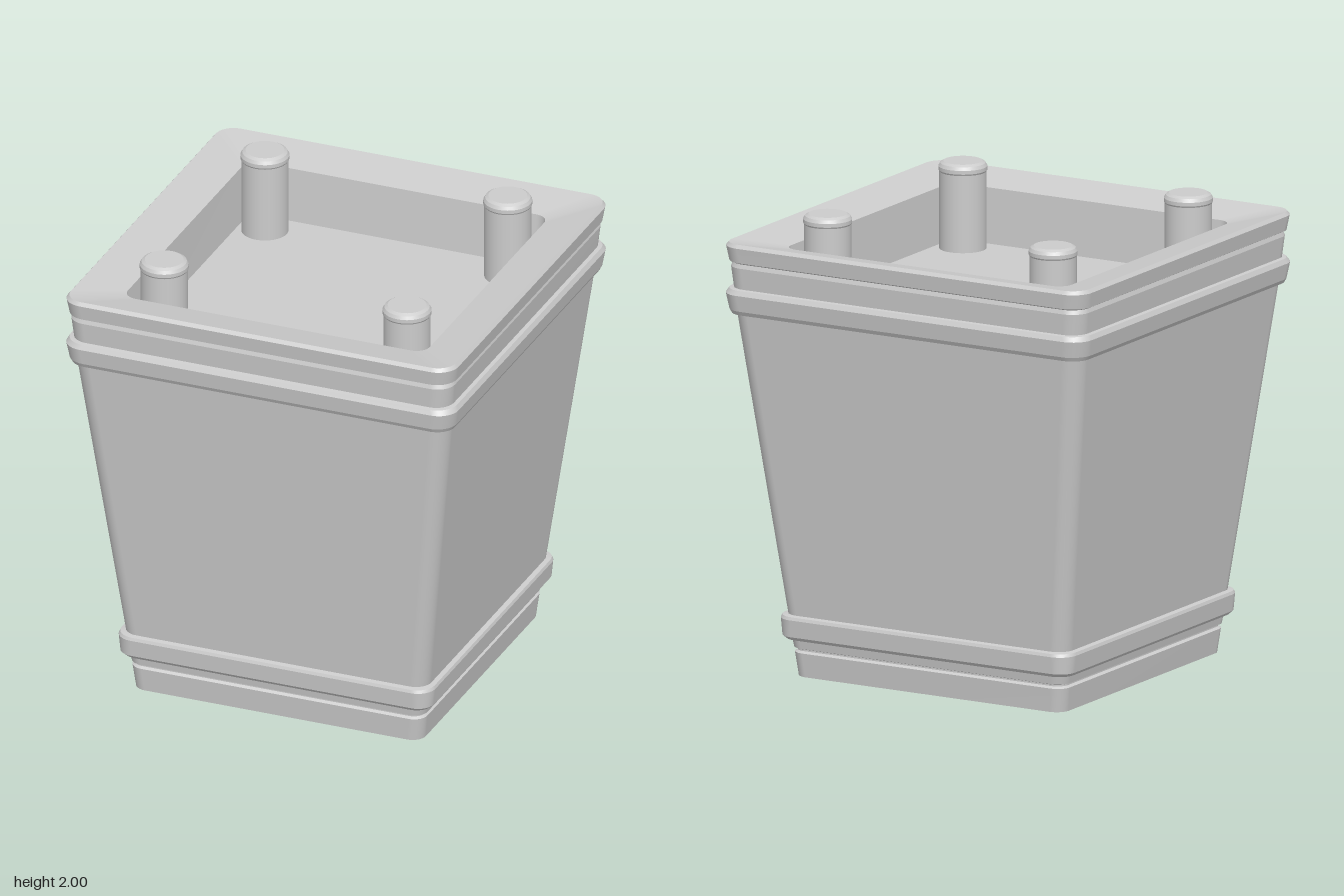
import * as THREE from 'three';
import { mergeGeometries } from 'three/addons/utils/BufferGeometryUtils.js';

const material = new THREE.MeshStandardMaterial({ color: 0xcccccc });
const CORNER_STEPS = 8;

// Rounded square outline of half width h and corner radius r at height y
function ring([h, y, r]) {
  const points = [];
  for (let q = 0; q < 4; q++) {
    const mid = (q + 0.5) * Math.PI / 2;
    const cx = Math.sign(Math.cos(mid)) * (h - r);
    const cz = Math.sign(Math.sin(mid)) * (h - r);
    for (let i = 0; i <= CORNER_STEPS; i++) {
      const a = (q + i / CORNER_STEPS) * Math.PI / 2;
      points.push(cx + r * Math.cos(a), y, cz + r * Math.sin(a));
    }
  }
  return points;
}

// One band between two outlines: smooth round the corners, sharp at both edges
function band(from, to) {
  const n = 4 * (CORNER_STEPS + 1);
  const index = [];
  for (let i = 0; i < n; i++) {
    const j = (i + 1) % n;
    index.push(i, i + n, j, j, i + n, j + n);
  }
  const geometry = new THREE.BufferGeometry();
  geometry.setAttribute('position', new THREE.Float32BufferAttribute([...ring(from), ...ring(to)], 3));
  geometry.setIndex(index);
  geometry.computeVertexNormals();
  return geometry;
}

function loft(name, profile) {
  const bands = profile.slice(1).map((p, i) => band(profile[i], p));
  const mesh = new THREE.Mesh(mergeGeometries(bands), material);
  mesh.name = name;
  return mesh;
}

export function createModel() {
  const group = new THREE.Group();
  group.name = 'squarePlanter';

  // Each profile runs upward on the outside as [half width, height, corner radius]
  const parts = {
    foot: [[0, 0, 0], [0.66, 0, 0.06], [0.672, 0.105, 0.06], [0.66, 0.113, 0.05],
      [0.66, 0.12, 0.05], [0.674, 0.125, 0.06], [0.68, 0.16, 0.06]],
    lowerBand: [[0.68, 0.16, 0.06], [0.7, 0.165, 0.07], [0.713, 0.18, 0.07],
      [0.721, 0.255, 0.08], [0.716, 0.268, 0.08], [0.695, 0.272, 0.07]],
    body: [[0.695, 0.272, 0.07], [0.855, 1.592, 0.08]],
    upperBand: [[0.855, 1.592, 0.08], [0.872, 1.592, 0.08], [0.882, 1.61, 0.09],
      [0.893, 1.68, 0.09], [0.882, 1.7, 0.09], [0.865, 1.703, 0.08]],
    neck: [[0.865, 1.703, 0.08], [0.874, 1.795, 0.08], [0.868, 1.813, 0.08]],
    rim: [[0.868, 1.813, 0.08], [0.882, 1.82, 0.09], [0.892, 1.885, 0.09],
      [0.88, 1.9, 0.08], [0.69, 1.86, 0.06]],
    basin: [[0.69, 1.86, 0.06], [0.675, 1.62, 0.05], [0, 1.62, 0]],
  };
  for (const [name, profile] of Object.entries(parts)) group.add(loft(name, profile));

  // Four round pegs standing in the basin corners, with a slightly wider chamfered cap
  const pegProfile = [[0.1, 1.61], [0.1, 1.955], [0.104, 1.962], [0.104, 1.978],
    [0.096, 1.992], [0.082, 2], [0, 2]];
  const pegGeometry = mergeGeometries(pegProfile.slice(1).map((p, i) =>
    new THREE.LatheGeometry([pegProfile[i], p].map(([x, y]) => new THREE.Vector2(x, y)), 32)));
  for (const sx of [-1, 1]) {
    for (const sz of [-1, 1]) {
      const peg = new THREE.Mesh(pegGeometry, material);
      peg.name = `${sz > 0 ? 'front' : 'back'}${sx > 0 ? 'Left' : 'Right'}Peg`;
      peg.position.set(sx * 0.555, 0, sz * 0.555);
      group.add(peg);
    }
  }
  return group;
}
